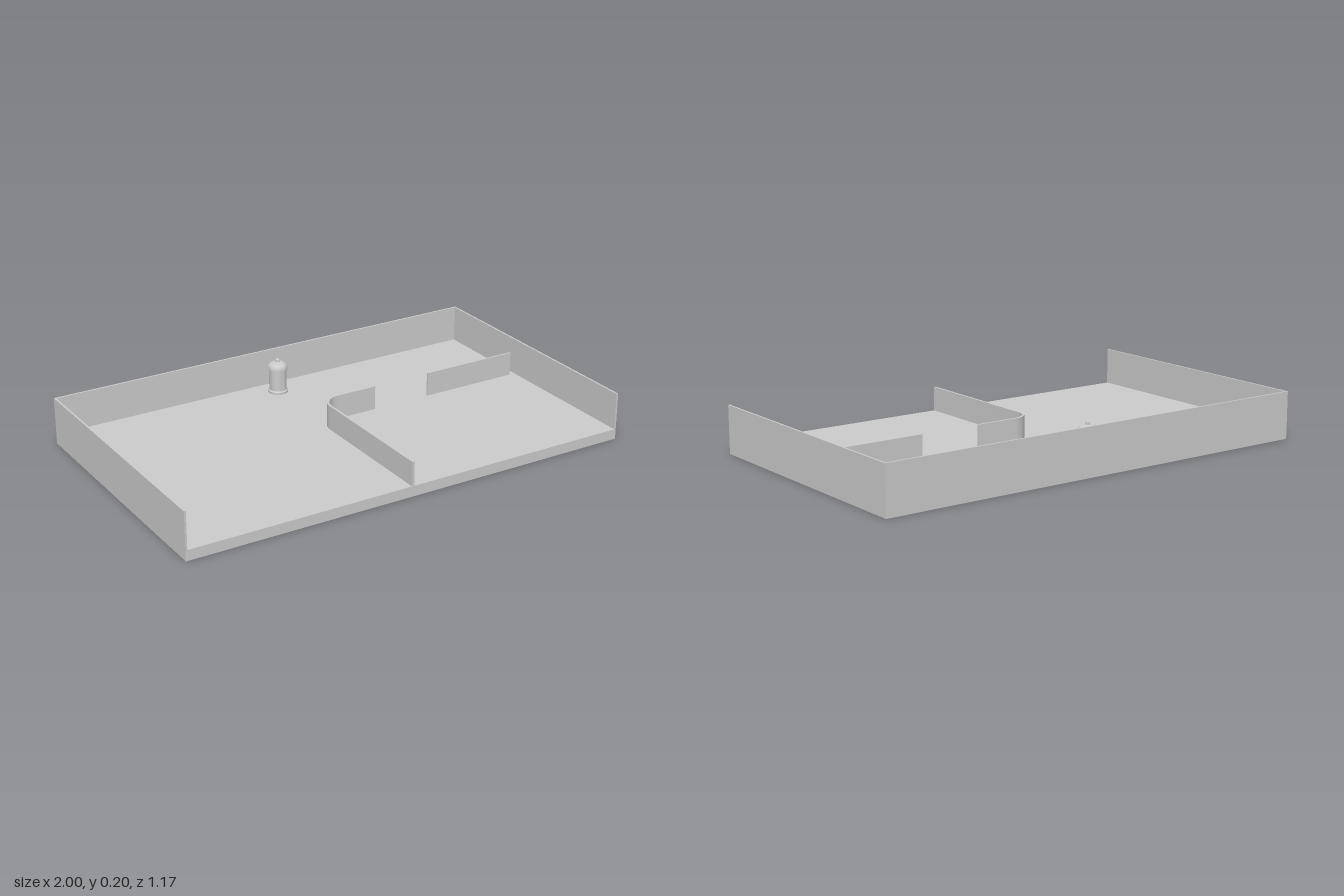
import * as THREE from 'three';
import { toCreasedNormals } from 'three/addons/utils/BufferGeometryUtils.js';

export function createModel() {
  const model = new THREE.Group();
  const material = new THREE.MeshStandardMaterial({ color: 0xcccccc });
  const W = 2, D = 1.17, FLOOR = 0.045, TOP = 0.205, T = 0.008;
  const PART_H = 0.105; // height of the low partitions

  function add(name, geometry, x = 0, y = 0, z = 0) {
    const mesh = new THREE.Mesh(geometry, material);
    mesh.name = name;
    mesh.position.set(x, y, z);
    model.add(mesh);
    return mesh;
  }
  const box = (name, w, h, d, x, y, z) => add(name, new THREE.BoxGeometry(w, h, d), x, y, z);

  // Floor slab and the three outer walls; the front is open
  box('floor', W, FLOOR, D, 0, FLOOR / 2, 0);
  const wallH = TOP - FLOOR, wallY = FLOOR + wallH / 2;
  box('backWall', W, wallH, T, 0, wallY, -D / 2 + T / 2);
  for (const [name, s] of [['leftWall', 1], ['rightWall', -1]])
    box(name, T, wallH, D - T, s * (W / 2 - T / 2), wallY, T / 2);

  // Low partition with a rounded corner, drawn in plan (shape y = -z)
  const plan = new THREE.Shape();
  plan.moveTo(-0.015, -D / 2);
  plan.lineTo(-0.015, 0.03);
  plan.absarc(0.07, 0.03, 0.085, Math.PI, Math.PI / 2, true);
  plan.lineTo(0.255, 0.115);
  plan.lineTo(0.255, 0.105);
  plan.absarc(0.07, 0.03, 0.075, Math.PI / 2, Math.PI, false);
  plan.lineTo(-0.005, -D / 2);
  plan.closePath();
  const bent = new THREE.ExtrudeGeometry(plan, { depth: PART_H, bevelEnabled: false, curveSegments: 16 });
  bent.rotateX(-Math.PI / 2);
  add('curvedPartition', toCreasedNormals(bent, 0.6), 0, FLOOR, 0);

  // Straight partition beyond the doorway gap
  box('straightPartition', 0.44, PART_H, 0.008, 0.745, FLOOR + PART_H / 2, -0.11);

  // Round canister: base ring, body, overhanging domed cap and knob
  const profile = [
    [0, 0], [0.043, 0], [0.043, 0.01], [0.038, 0.014], [0.038, 0.108],
    [0.043, 0.108], [0.043, 0.12], [0.038, 0.129], [0.027, 0.136], [0.012, 0.14],
    [0.009, 0.14], [0.009, 0.149], [0.006, 0.153], [0, 0.154],
  ].map(([r, y]) => new THREE.Vector2(r, y));
  add('canister', toCreasedNormals(new THREE.LatheGeometry(profile, 32), 0.6), -0.003, FLOOR, -0.485);

  return model;
}
